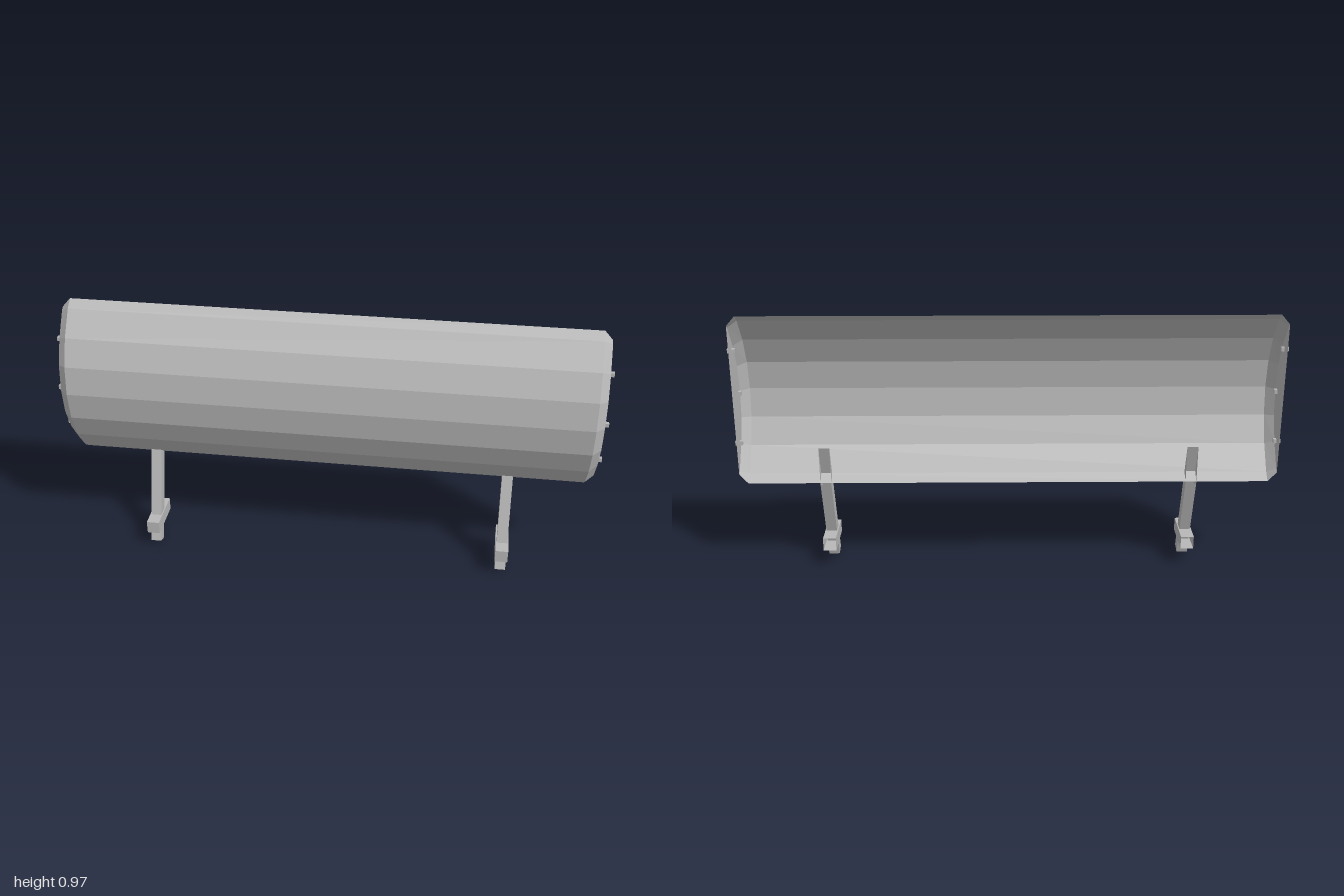
import * as THREE from 'three';

const steel = new THREE.MeshStandardMaterial({ color: 0xb8b8b8, side: THREE.DoubleSide, flatShading: true });
steel.name = 'grey steel';

// Joins rings of [x, y, z] points into a faceted skin; ends can be capped and rings closed.
function loft(name, rings, { closed = true, capStart = false, capEnd = false } = {}) {
  const pos = [];
  const tri = (a, b, c) => pos.push(...a, ...b, ...c);
  const n = rings[0].length;
  for (let r = 0; r < rings.length - 1; r++) {
    for (let i = 0; i < (closed ? n : n - 1); i++) {
      const j = (i + 1) % n, a = rings[r], b = rings[r + 1];
      tri(a[i], b[i], b[j]);
      tri(a[i], b[j], a[j]);
    }
  }
  const cap = (ring, flip) => {
    for (let i = 1; i < n - 1; i++) {
      if (flip) tri(ring[0], ring[i + 1], ring[i]);
      else tri(ring[0], ring[i], ring[i + 1]);
    }
  };
  if (capStart) cap(rings[0], false);
  if (capEnd) cap(rings[rings.length - 1], true);
  const geo = new THREE.BufferGeometry();
  geo.setAttribute('position', new THREE.Float32BufferAttribute(pos, 3));
  geo.computeVertexNormals();
  const mesh = new THREE.Mesh(geo, steel);
  mesh.name = name;
  return mesh;
}

const BACK = -0.084, MID_Y = 0.659;

// Half profiles as [z, height above the middle], mirrored top to bottom
const mirrorProfile = half => [
  ...half.map(([z, h]) => [z, MID_Y + h]),
  ...half.slice(0, -1).reverse().map(([z, h]) => [z, MID_Y - h]),
];
const outer = mirrorProfile([[BACK, 0.316], [-0.05, 0.291], [0.015, 0.203], [0.057, 0.106], [0.071, 0]]);
const inset = mirrorProfile([[BACK, 0.281], [-0.071, 0.272], [-0.01, 0.187], [0.03, 0.099], [0.042, 0]]);

export function createModel() {
  const model = new THREE.Group();
  model.name = 'curvedBlade';

  // Curved panel with chamfered, capped ends and an open back
  const ring = (profile, x) => profile.map(([z, y]) => [x, y, z]);
  model.add(loft('curvedPanel',
    [ring(inset, 0.985), ring(outer, 0.954), ring(outer, -0.954), ring(inset, -0.985)],
    { closed: false, capStart: true, capEnd: true }));

  for (const side of [-1, 1]) {
    // Bolts through the end plate
    for (const [z, y] of [[-0.032, 0.835], [0.015, MID_Y], [-0.032, 0.483]]) {
      const bolt = new THREE.Mesh(new THREE.BoxGeometry(0.026, 0.015, 0.015), steel);
      bolt.position.set(side * 0.987, y, z);
      bolt.name = 'endBolt';
      model.add(bolt);
    }

    const support = new THREE.Group();
    support.name = side > 0 ? 'leftSupport' : 'rightSupport';
    support.position.x = side * 0.671;

    // Slanted hollow leg, cut off open at the back plane
    const w = 0.02;
    const foot = [[-w, 0.015, 0.063], [w, 0.015, 0.063], [w, 0.002, 0.022], [-w, 0.002, 0.022]];
    const top = [[-w, 0.48, BACK], [w, 0.48, BACK], [w, 0.335, BACK], [-w, 0.335, BACK]];
    support.add(loft('leg', [foot, top], { capStart: true }));

    // Horizontal sleeve, open at the back
    const square = z => [[-0.024, 0.068, z], [0.024, 0.068, z], [0.024, 0.117, z], [-0.024, 0.117, z]];
    support.add(loft('sleeve', [square(0.084), square(BACK)], { capStart: true }));
    model.add(support);
  }
  return model;
}
